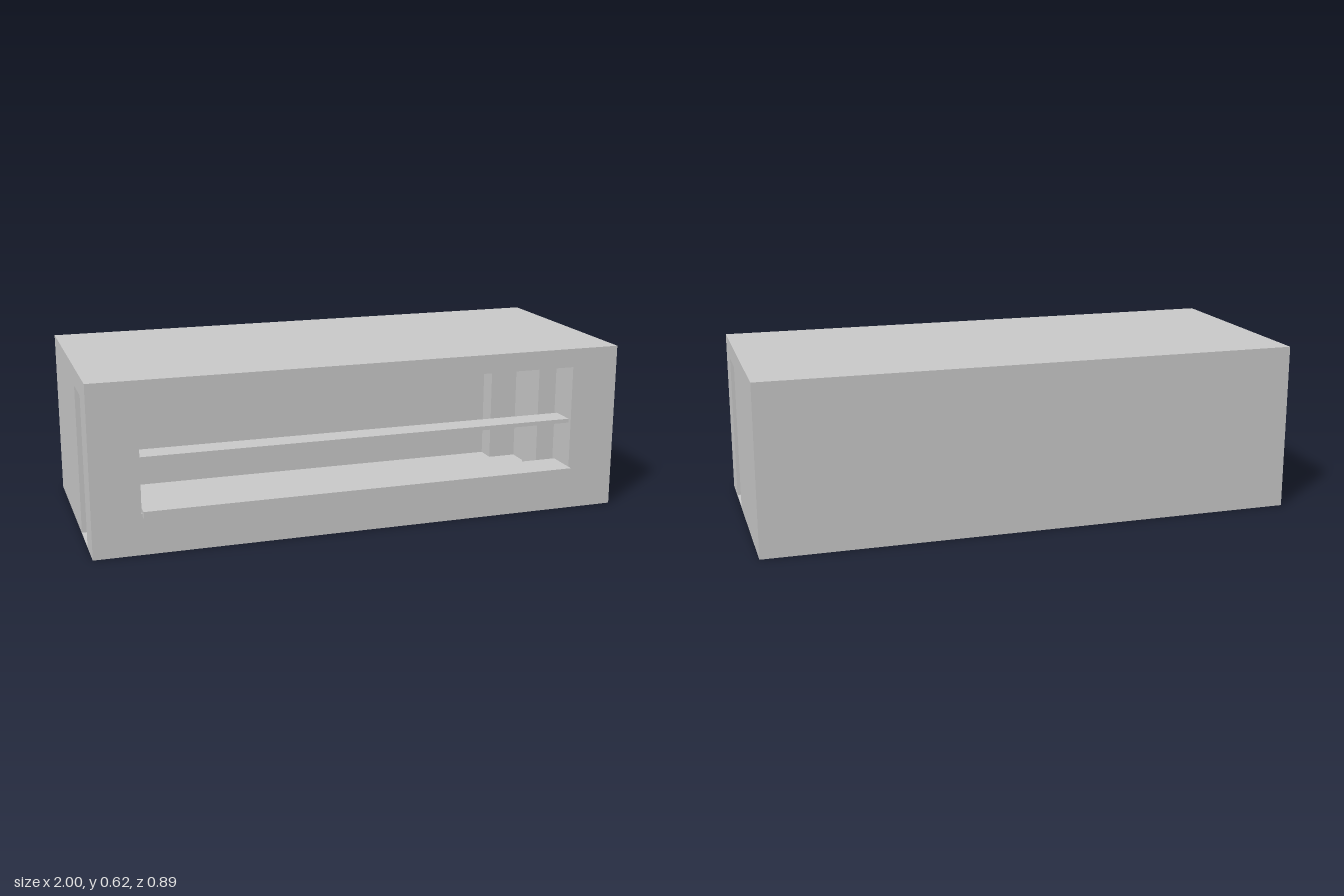
import * as THREE from 'three';

const material = new THREE.MeshStandardMaterial({ color: 0xcccccc, flatShading: true });

const BACK = -0.443, FRONT = 0.417, INNER_FRONT = 0.285, DOOR_BACK = 0.133;
const HEIGHT = 0.625, CEILING = 0.555, FLOOR = 0.003;

function addMesh(group, name, geometry) {
  const mesh = new THREE.Mesh(geometry, material);
  mesh.name = name;
  group.add(mesh);
  return mesh;
}

// Box given by its lower and upper limits on each axis
function addBox(group, name, [x0, x1], [y0, y1], [z0, z1]) {
  const mesh = addMesh(group, name, new THREE.BoxGeometry(x1 - x0, y1 - y0, z1 - z0));
  mesh.position.set((x0 + x1) / 2, (y0 + y1) / 2, (z0 + z1) / 2);
}

const toPoints = (list) => list.map(([x, y]) => new THREE.Vector2(x, y));

export function createModel() {
  const group = new THREE.Group();
  group.name = 'bunker';

  // Front wall with its long window
  const front = new THREE.Shape(toPoints([[-1, 0], [1, 0], [1, HEIGHT], [-1, HEIGHT]]));
  front.holes.push(new THREE.Path(toPoints([[-0.825, 0.15], [-0.825, CEILING], [0.818, CEILING], [0.818, 0.15]])));
  const frontGeometry = new THREE.ExtrudeGeometry(front, { depth: FRONT - INNER_FRONT, bevelEnabled: false });
  frontGeometry.translate(0, 0, INNER_FRONT);
  addMesh(group, 'frontWall', frontGeometry);

  // Side and back walls as one plan (x, z), with a recess in each side behind the doorway
  const half = [[0, BACK], [1, BACK], [1, DOOR_BACK], [0.825, DOOR_BACK], [0.825, 0.013],
    [0.93, 0.013], [0.93, -0.283], [0.815, -0.283], [0.815, -0.363]];
  const mirrored = half.slice(1).reverse().map(([x, z]) => [-x, z]);
  const plan = new THREE.Shape(toPoints([...half, ...mirrored].map(([x, z]) => [x, -z])));
  const planGeometry = new THREE.ExtrudeGeometry(plan, { depth: CEILING, bevelEnabled: false });
  planGeometry.rotateX(-Math.PI / 2);
  addMesh(group, 'sideAndBackWalls', planGeometry);

  // Roof slab spans both doorways; the floor is a thin sheet
  addBox(group, 'roof', [-1, 1], [CEILING, HEIGHT], [BACK, INNER_FRONT]);
  addBox(group, 'floor', [-1, 1], [0, FLOOR], [BACK, INNER_FRONT]);

  // Window sill projecting outward, and the shelf across the opening
  addBox(group, 'windowSill', [-0.822, 0.815], [0.14, 0.166], [0.306, 0.443]);
  addBox(group, 'windowShelf', [-0.825, 0.818], [0.335, 0.35], [0.306, 0.4]);

  return group;
}
